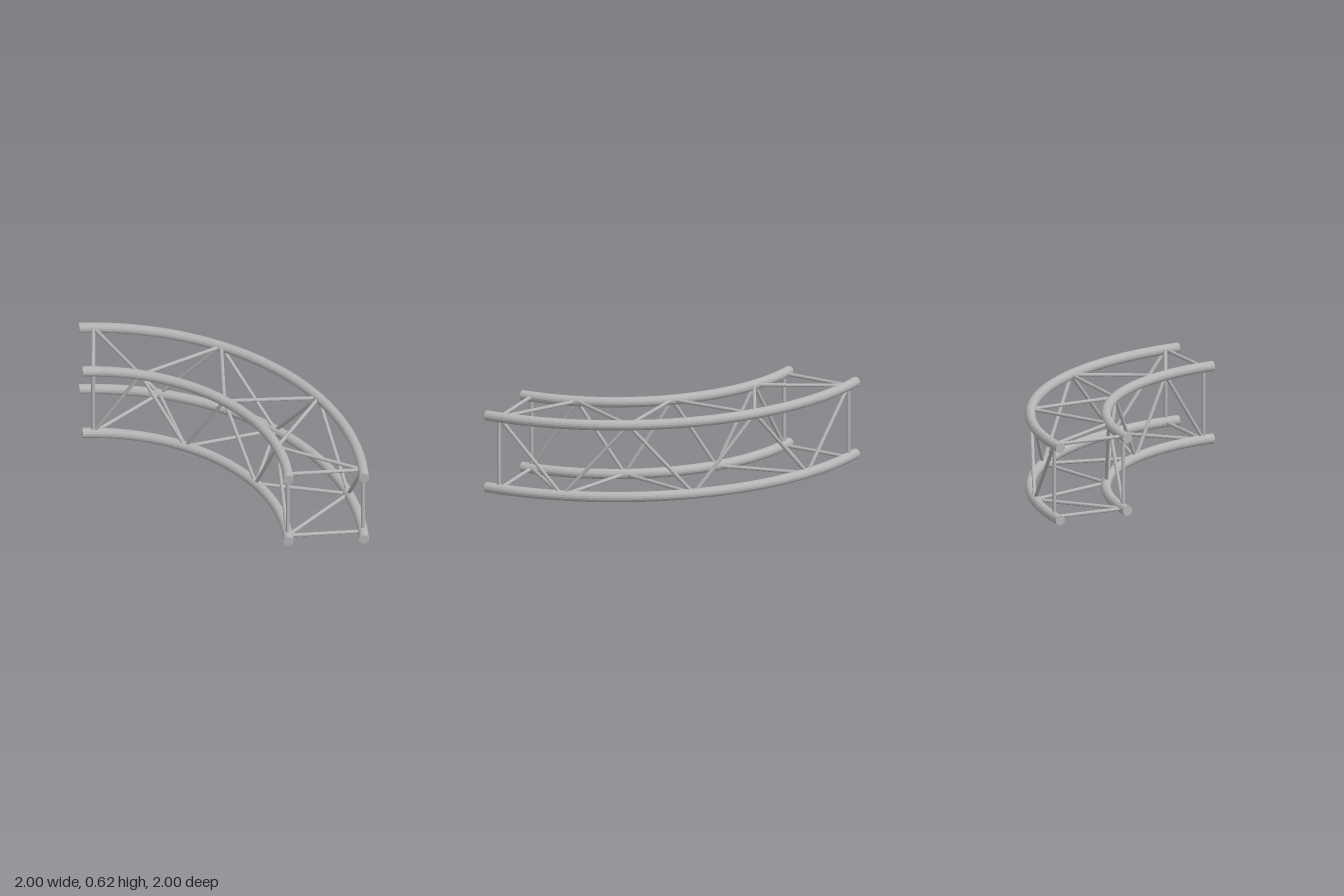
import * as THREE from 'three';

const TUBE = 0.0375, STRUT = 0.0135;
const LOW = TUBE, HIGH = 0.58;
const OUTER = 2 - TUBE, INNER = 1.418;
const BAYS = 6;

export function createModel() {
  const model = new THREE.Group();
  const metal = new THREE.MeshStandardMaterial({ color: 0xb4b4b4, flatShading: true });
  metal.name = 'grey metal';

  const add = (name, geometry) => {
    const mesh = new THREE.Mesh(geometry, metal);
    mesh.name = name;
    model.add(mesh);
    return mesh;
  };

  // Joint position on a chord: the arc is centred on the corner (-1, 1)
  const node = (radius, y, i) => {
    const a = THREE.MathUtils.degToRad(3 + (84 / BAYS) * i);
    return new THREE.Vector3(-1 + radius * Math.cos(a), y, 1 - radius * Math.sin(a));
  };

  // Straight round bar between two joints
  const strut = (name, from, to) => {
    const dir = to.clone().sub(from);
    const mesh = add(name, new THREE.CylinderGeometry(STRUT, STRUT, dir.length(), 12));
    mesh.position.copy(from).add(to).multiplyScalar(0.5);
    mesh.quaternion.setFromUnitVectors(new THREE.Vector3(0, 1, 0), dir.normalize());
  };

  // Four quarter-circle chords with closed ends
  for (const radius of [INNER, OUTER]) {
    for (const y of [LOW, HIGH]) {
      const chord = new THREE.TorusGeometry(radius, TUBE, 16, 40, Math.PI / 2);
      chord.rotateX(-Math.PI / 2);
      add('chord', chord).position.set(-1, y, 1);
      add('chordFrontCap', new THREE.CircleGeometry(TUBE, 16)).position.set(-1 + radius, y, 1);
      const cap = add('chordSideCap', new THREE.CircleGeometry(TUBE, 16));
      cap.position.set(-1, y, 1 - radius);
      cap.rotation.y = -Math.PI / 2;
    }
  }

  // Rectangular frames at both ends
  for (const i of [0, BAYS]) {
    for (const radius of [INNER, OUTER]) strut('endPost', node(radius, LOW, i), node(radius, HIGH, i));
    for (const y of [LOW, HIGH]) strut('endCrossbar', node(INNER, y, i), node(OUTER, y, i));
  }

  // Zigzag braces on all four faces, meeting at shared joints
  const innerY = i => (i % 2 ? HIGH : LOW);
  const outerY = i => (i % 2 ? LOW : HIGH);
  const topRadius = i => (i % 2 ? INNER : OUTER);
  const bottomRadius = i => (i % 2 ? OUTER : INNER);
  for (let i = 0; i < BAYS; i++) {
    const j = i + 1;
    strut('innerBrace', node(INNER, innerY(i), i), node(INNER, innerY(j), j));
    strut('outerBrace', node(OUTER, outerY(i), i), node(OUTER, outerY(j), j));
    strut('topBrace', node(topRadius(i), HIGH, i), node(topRadius(j), HIGH, j));
    strut('bottomBrace', node(bottomRadius(i), LOW, i), node(bottomRadius(j), LOW, j));
  }

  return model;
}
